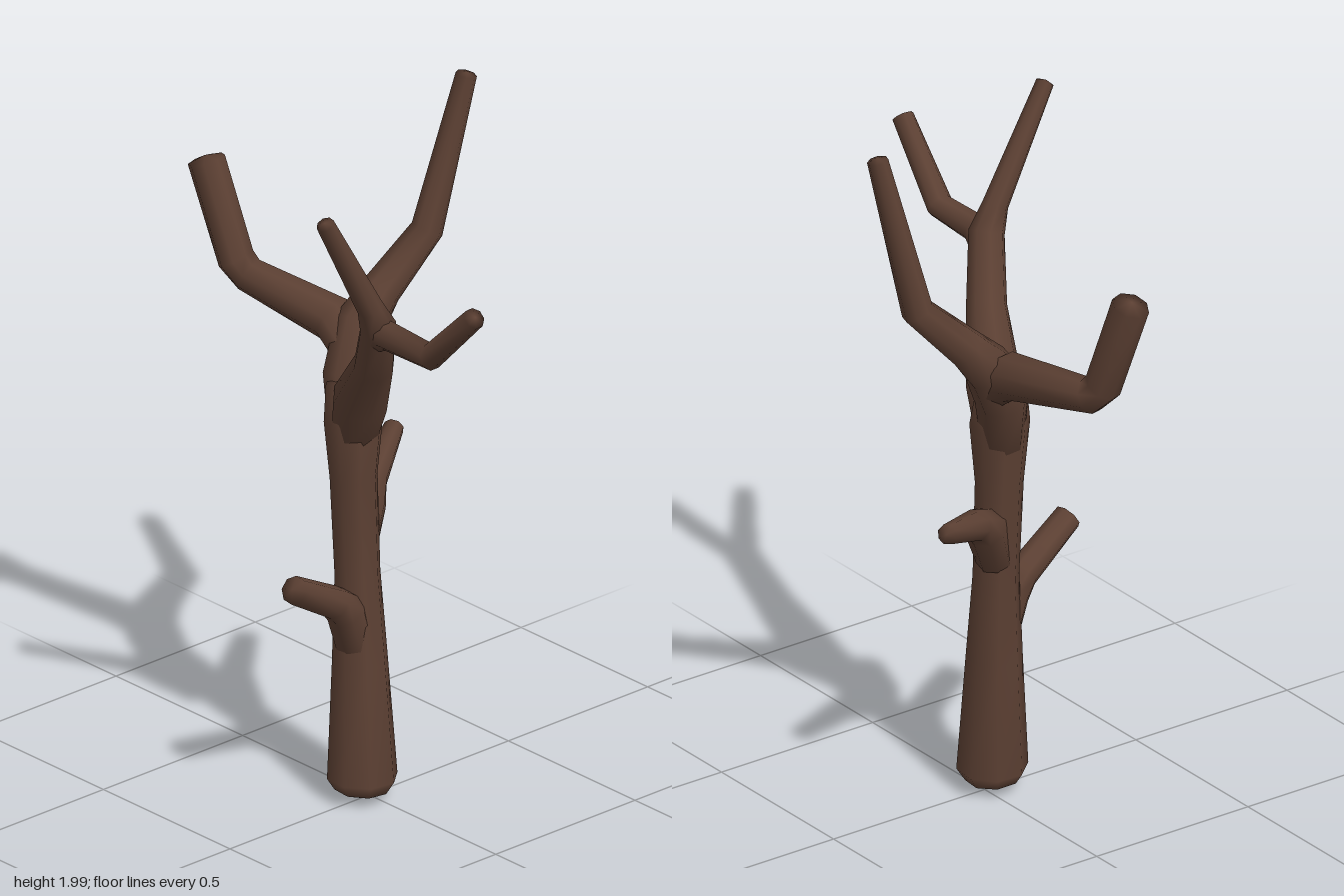
import * as THREE from 'three';

const SIDES = 8;
const bark = new THREE.MeshStandardMaterial({ color: 0x5c4033 });

// Tapered limb through rows of [x, y, z, radius], closed by blunt ends.
function limb(name, rows, startDome = 0.3) {
  const points = rows.map(r => new THREE.Vector3(r[0], r[1], r[2]));
  const last = points.length - 1;
  const positions = [];
  const index = [];
  const add = v => positions.push(v.x, v.y, v.z);
  const directions = points.map((p, i) => {
    const d = new THREE.Vector3();
    if (i > 0) d.add(p.clone().sub(points[i - 1]).normalize());
    if (i < last) d.add(points[i + 1].clone().sub(p).normalize());
    return d.normalize();
  });

  // Rings, with the side vector carried along so the limb does not twist
  const side = new THREE.Vector3(0.31, 0.17, 0.93);
  points.forEach((p, i) => {
    const t = directions[i];
    side.addScaledVector(t, -side.dot(t)).normalize();
    const up = new THREE.Vector3().crossVectors(t, side);
    for (let j = 0; j < SIDES; j++) {
      const a = (j / SIDES) * Math.PI * 2;
      add(p.clone()
        .addScaledVector(side, Math.cos(a) * rows[i][3])
        .addScaledVector(up, Math.sin(a) * rows[i][3]));
    }
  });

  // End points of the caps
  add(points[0].clone().addScaledVector(directions[0], -startDome * rows[0][3]));
  add(points[last].clone().addScaledVector(directions[last], 0.25 * rows[last][3]));
  const startPole = points.length * SIDES;

  for (let j = 0; j < SIDES; j++) {
    const k = (j + 1) % SIDES;
    for (let i = 0; i < last; i++) {
      const a = i * SIDES + j, b = i * SIDES + k;
      index.push(a, b, b + SIDES, a, b + SIDES, a + SIDES);
    }
    index.push(startPole, k, j);
    index.push(startPole + 1, last * SIDES + j, last * SIDES + k);
  }

  const geometry = new THREE.BufferGeometry();
  geometry.setAttribute('position', new THREE.Float32BufferAttribute(positions, 3));
  geometry.setIndex(index);
  geometry.computeVertexNormals();
  const mesh = new THREE.Mesh(geometry, bark);
  mesh.name = name;
  return mesh;
}

export function createModel() {
  const tree = new THREE.Group();
  tree.name = 'bareTree';
  tree.add(
    // Trunk with a rounded foot
    limb('trunk', [
      [-0.027, 0.03, 0, 0.075], [-0.025, 0.065, 0, 0.097], [-0.02, 0.4, -0.015, 0.077],
      [-0.015, 0.65, -0.03, 0.063], [-0.015, 0.93, -0.045, 0.066],
      [-0.02, 1.1, -0.04, 0.082], [-0.01, 1.2, -0.06, 0.07],
    ], 0.4),
    // Forward limb and its side fork
    limb('frontLimb', [
      [-0.015, 1.02, -0.05, 0.06], [-0.04, 1.18, 0.01, 0.078], [-0.11, 1.35, 0.14, 0.056],
      [-0.175, 1.51, 0.228, 0.05], [-0.21, 1.58, 0.235, 0.036], [-0.385, 1.885, 0.25, 0.025],
    ]),
    limb('frontFork', [
      [-0.16, 1.47, 0.2, 0.044], [-0.178, 1.5, 0.27, 0.041],
      [-0.182, 1.5, 0.445, 0.037], [-0.2, 1.685, 0.635, 0.03],
    ]),
    // Rear limb forking to the left and to the back
    limb('leftLimb', [
      [-0.015, 1.05, -0.06, 0.058], [0.01, 1.2, -0.09, 0.073], [0.075, 1.32, -0.12, 0.07],
      [0.15, 1.4, -0.115, 0.055], [0.29, 1.54, -0.09, 0.045], [0.378, 1.987, -0.032, 0.029],
    ]),
    limb('backLimb', [
      [0.04, 1.24, -0.09, 0.06], [0.05, 1.315, -0.19, 0.066],
      [0.005, 1.36, -0.48, 0.05], [-0.01, 1.4, -0.515, 0.052], [-0.032, 1.665, -0.608, 0.052],
    ]),
    // Short stubs on the trunk
    limb('rightStub', [
      [-0.03, 0.42, -0.012, 0.052], [-0.075, 0.565, -0.01, 0.056],
      [-0.125, 0.605, 0, 0.045], [-0.3, 0.708, 0.033, 0.039],
    ]),
    limb('leftStub', [
      [0, 0.7, -0.045, 0.05], [0.05, 0.82, -0.07, 0.058],
      [0.11, 0.86, -0.11, 0.044], [0.278, 0.92, -0.208, 0.028],
    ]),
  );
  return tree;
}
